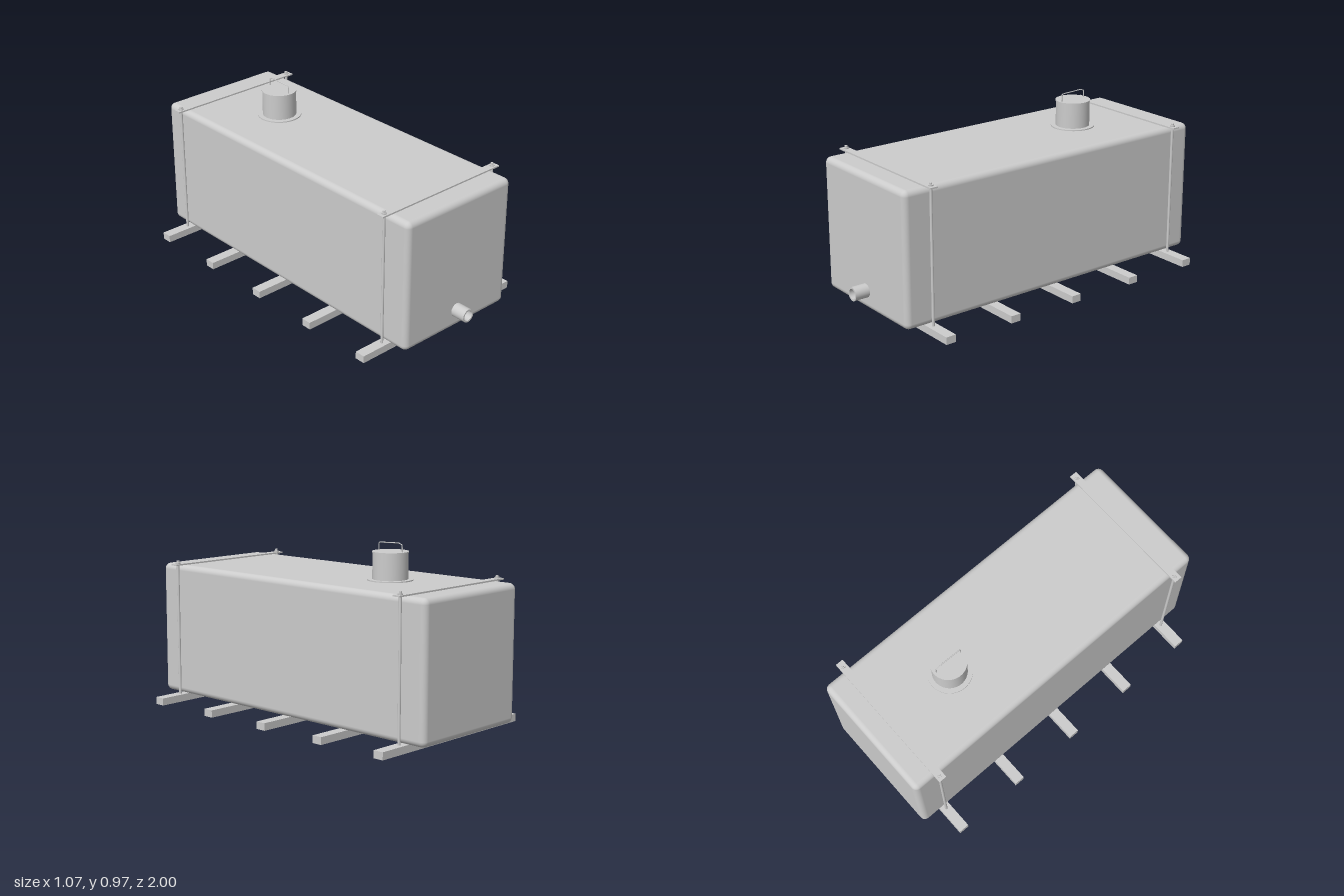
import * as THREE from 'three';
import { RoundedBoxGeometry } from 'three/addons/geometries/RoundedBoxGeometry.js';

const grey = new THREE.MeshStandardMaterial({ color: 0xcccccc });

function add(parent, name, geometry, x, y, z) {
  const mesh = new THREE.Mesh(geometry, grey);
  mesh.name = name;
  mesh.position.set(x, y, z);
  parent.add(mesh);
  return mesh;
}

// Closed or hollow turned part; a repeated point keeps its edge sharp
function turned(points, segments = 48) {
  const profile = [];
  points.forEach(([r, y], i) => {
    profile.push(new THREE.Vector2(r, y));
    if (i > 0 && i < points.length - 1) profile.push(new THREE.Vector2(r, y));
  });
  return new THREE.LatheGeometry(profile, segments);
}

export function createModel() {
  const model = new THREE.Group();
  model.name = 'storageTank';

  // Tank body
  add(model, 'tankBody', new RoundedBoxGeometry(0.73, 0.73, 1.915, 5, 0.032), 0, 0.405, -0.04);

  // Five cross beams under the tank
  const beamZ = [0, 1, 2, 3, 4].map((i) => 0.77 - i * 0.4065);
  for (const z of beamZ) {
    add(model, 'crossBeam', new THREE.BoxGeometry(1.066, 0.04, 0.058), 0, 0.02, z);
  }

  // Hold-down clamps over the first and last beams
  for (const z of [beamZ[0], beamZ[4]]) {
    const clamp = new THREE.Group();
    clamp.name = 'holdDownClamp';
    clamp.position.z = z;
    add(clamp, 'clampBar', new THREE.BoxGeometry(0.824, 0.008, 0.044), 0, 0.774, 0);
    for (const side of [-1, 1]) {
      const x = side * 0.382;
      add(clamp, 'tieRod', new THREE.CylinderGeometry(0.0075, 0.0075, 0.757, 16), x, 0.4165, 0);
      add(clamp, 'rodNut', new THREE.CylinderGeometry(0.014, 0.014, 0.007, 6), x, 0.7815, 0);
    }
    model.add(clamp);
  }

  // Filling neck with flange and lid
  const hatch = new THREE.Group();
  hatch.name = 'fillingHatch';
  hatch.position.set(0, 0.77, -0.46);
  add(hatch, 'neckFlange', new THREE.CylinderGeometry(0.12, 0.12, 0.012, 48), 0, 0, 0);
  add(hatch, 'neck', new THREE.CylinderGeometry(0.093, 0.093, 0.143, 48), 0, 0.0715, 0);
  add(hatch, 'lid', new THREE.CylinderGeometry(0.096, 0.096, 0.006, 48), 0, 0.146, 0);

  // Bent wire handle standing on the lid
  const wire = new THREE.CurvePath();
  const bends = [[0.145, 0.08], [0.185, 0.08], [0.19, 0.072], [0.195, -0.055], [0.187, -0.078], [0.145, -0.08]]
    .map(([y, z]) => new THREE.Vector3(0, y, z));
  for (let i = 1; i < bends.length; i++) wire.add(new THREE.LineCurve3(bends[i - 1], bends[i]));
  add(hatch, 'lidHandle', new THREE.TubeGeometry(wire, 60, 0.0028, 8), 0, 0, 0);
  model.add(hatch);

  // Hollow outlet pipe on the front
  const pipe = add(model, 'outletPipe',
    turned([[0.037, 0], [0.037, 0.09], [0.028, 0.09], [0.028, 0.012], [0, 0.012]]), 0, 0.143, 0.91);
  pipe.rotation.x = Math.PI / 2;

  return model;
}
